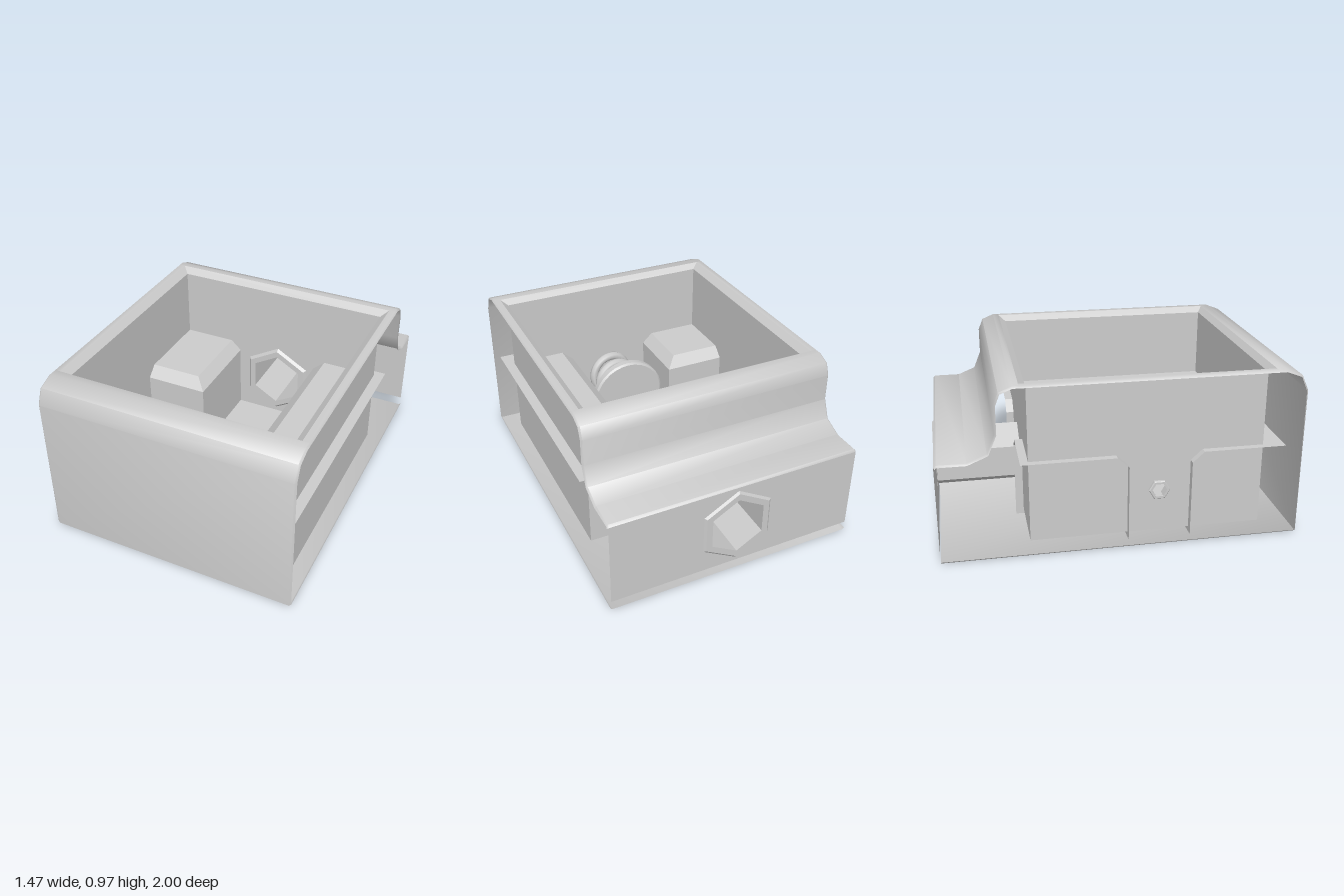
import * as THREE from 'three';
import { toCreasedNormals } from 'three/addons/utils/BufferGeometryUtils.js';

const smooth = new THREE.MeshStandardMaterial({ color: 0xcccccc, side: THREE.DoubleSide });
const flat = new THREE.MeshStandardMaterial({ color: 0xcccccc, side: THREE.DoubleSide, flatShading: true });

// Sheet surface through rows of [x, y, z] points
function loft(rows, crease = 0.85) {
  const pos = [];
  for (let i = 0; i < rows.length - 1; i++) {
    for (let j = 0; j < rows[i].length - 1; j++) {
      const a = rows[i][j], b = rows[i][j + 1], c = rows[i + 1][j + 1], d = rows[i + 1][j];
      pos.push(...a, ...b, ...c, ...a, ...c, ...d);
    }
  }
  const g = new THREE.BufferGeometry();
  g.setAttribute('position', new THREE.Float32BufferAttribute(pos, 3));
  return toCreasedNormals(g, crease);
}

// Flat rectangle in the xy plane, with an optional hexagonal hole
function panel(x0, x1, y0, y1, hole) {
  const s = new THREE.Shape([[x0, y0], [x1, y0], [x1, y1], [x0, y1]].map(p => new THREE.Vector2(...p)));
  if (hole) {
    const pts = [];
    for (let i = 0; i < 6; i++) {
      const a = Math.PI / 2 - i * Math.PI / 3;
      pts.push(new THREE.Vector2(hole.x + hole.r * Math.cos(a), hole.y + hole.r * Math.sin(a)));
    }
    s.holes.push(new THREE.Path(pts));
  }
  return new THREE.ShapeGeometry(s);
}

// Bent sheet following a [z, y] profile, with a narrow lip turned in at both sides
function bentSheet(profile) {
  const rows = profile.map(([z, y], i) => {
    const p = profile[Math.max(i - 1, 0)], n = profile[Math.min(i + 1, profile.length - 1)];
    const l = Math.hypot(n[0] - p[0], n[1] - p[1]);
    const zi = z - 0.01 * (n[1] - p[1]) / l, yi = y + 0.01 * (n[0] - p[0]) / l;
    return [[-0.735, yi, zi], [-0.725, y, z], [0.725, y, z], [0.735, yi, zi]];
  });
  return loft(rows);
}

// Hollow block, open on its outer side, with chamfers on the two inner sides
function cornerBlock(zInner, zOuter) {
  const c = 0.065, x0 = -0.69, x1 = -0.27;
  const zi = zInner + c * Math.sign(zOuter - zInner);
  const side = y => [[x0, y, zInner], [x1, y, zInner], [x1, y, zOuter]];
  const top = [[x0, 0.52, zi], [x1 - c, 0.52, zi], [x1 - c, 0.52, zOuter]];
  const corner = [x0, 0.52, zOuter];
  return loft([side(0.02), side(0.46), top, [corner, corner, corner]], 0.3);
}

class Helix extends THREE.Curve {
  getPoint(t, target = new THREE.Vector3()) {
    const a = Math.PI + t * 4.5 * Math.PI * 2;
    return target.set(0.125 * Math.cos(a), 0.31 + 0.125 * Math.sin(a), 0.49 + 0.45 * t);
  }
}

export function createModel() {
  const model = new THREE.Group();
  const add = (name, geometry, material = smooth, parent = model) => {
    const m = new THREE.Mesh(geometry, material);
    m.name = name;
    parent.add(m);
    return m;
  };

  // Outer shell: floor, front and rounded top edge, then the stepped back
  const shell = new THREE.Group();
  shell.name = 'shell';
  model.add(shell);
  add('floorAndFront', bentSheet([[-0.985, 0.003], [1, 0.003], [1, 0.85], [0.962, 0.938], [0.875, 0.972], [0.83, 0.972]]), smooth, shell);
  add('steppedBack', bentSheet([[-0.54, 0.972], [-0.575, 0.972], [-0.645, 0.943], [-0.672, 0.875], [-0.672, 0.72],
    [-0.715, 0.615], [-0.82, 0.572], [-0.975, 0.572], [-0.987, 0.56]]), smooth, shell);
  for (const s of [-1, 1]) {
    const edge = z => [[s * 0.69, 0.972, z], [s * 0.725, 0.972, z], [s * 0.735, 0.962, z]];
    add('topSideStrip', loft([edge(0.83), edge(-0.54)]), smooth, shell);
  }
  const back = panel(-0.73, 0.73, 0.06, 0.56, { x: 0, y: 0.31, r: 0.18 });
  back.rotateY(Math.PI).translate(0, 0, -0.987);
  add('backPanel', back, smooth, shell);

  // Inner box hung from the opening by a sloped rim
  const box = new THREE.Group();
  box.name = 'innerBox';
  model.add(box);
  const ring = (x, y, z0, z1) => [[-x, y, z0], [x, y, z0], [x, y, z1], [-x, y, z1], [-x, y, z0]];
  add('slopedRim', loft([ring(0.69, 0.972, -0.54, 0.83), ring(0.65, 0.94, -0.5, 0.8)], 0.3), smooth, box);
  add('boxFrontWall', panel(-0.65, 0.65, 0.05, 0.94).translate(0, 0, 0.8), smooth, box);
  add('boxBackWall', panel(-0.65, 0.65, 0.05, 0.94, { x: 0, y: 0.31, r: 0.18 }).translate(0, 0, -0.5), smooth, box);
  add('boxLeftWall', panel(-0.5, 0.8, 0.05, 0.94).rotateY(-Math.PI / 2).translate(0.65, 0, 0), smooth, box);
  add('boxRightWall', panel(-0.5, 0.8, 0.05, 0.94, { x: 0.215, y: 0.3, r: 0.045 })
    .rotateY(-Math.PI / 2).translate(-0.65, 0, 0), smooth, box);
  add('boxFloor', new THREE.PlaneGeometry(1.3, 1.3).rotateX(-Math.PI / 2).translate(0, 0.05, 0.15), smooth, box);

  // Chamfered guide blocks: one full length, two corner ones
  const guide = z => [[0.25, 0.02, z], [0.25, 0.46, z], [0.32, 0.522, z], [0.71, 0.522, z]];
  add('longGuideBlock', loft([guide(0.92), guide(-0.545)], 0.3));
  add('rearCornerBlock', cornerBlock(0.04, -0.545));
  add('frontCornerBlock', cornerBlock(0.39, 0.92));

  // Hexagonal tube through the back, flanged at both ends
  const tube = [[0.175, -0.998], [0.215, -0.998], [0.232, -0.985], [0.182, -0.985], [0.182, -0.5], [0.232, -0.5],
    [0.215, -0.483], [0.175, -0.483], [0.175, -0.998]].map(p => new THREE.Vector2(...p));
  add('hexTube', new THREE.LatheGeometry(tube, 6).rotateX(Math.PI / 2).translate(0, 0.31, 0), flat);

  // Small hexagonal bushing in the right wall
  const bush = [[0.042, -0.67], [0.055, -0.67], [0.06, -0.665], [0.06, -0.625], [0.05, -0.615], [0.042, -0.615], [0.042, -0.67]];
  add('bushing', new THREE.LatheGeometry(bush.map(p => new THREE.Vector2(...p)), 6)
    .rotateZ(-Math.PI / 2).translate(0, 0.3, 0.215), flat);

  // Pusher plate and its coil spring
  const plate = [[0, 0.437], [0.225, 0.437], [0.237, 0.447], [0.237, 0.483], [0.225, 0.493], [0, 0.493]];
  add('pusherPlate', toCreasedNormals(new THREE.LatheGeometry(plate.map(p => new THREE.Vector2(...p)), 32), 0.5)
    .rotateX(Math.PI / 2).translate(0, 0.31, 0));
  add('spring', new THREE.TubeGeometry(new Helix(), 144, 0.027, 8));

  return model;
}
